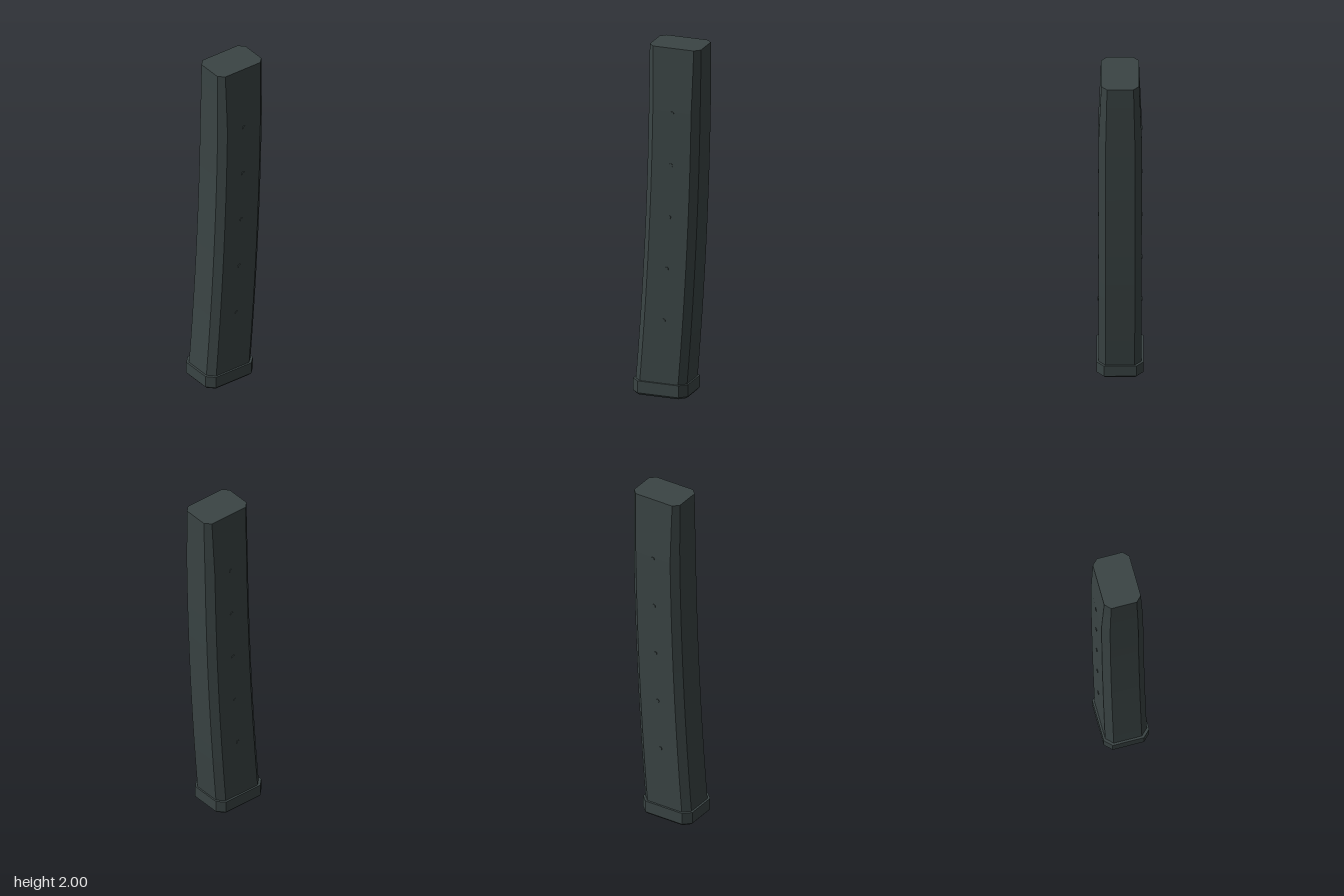
import * as THREE from 'three';

const TOP = 2, PLATE = 0.08;

// Backward sweep of the curved body at a given height
const sweep = (y) => 0.0214 * (TOP - y) ** 2;

// Eight-sided ring: a rectangle with cut corners, counter-clockwise seen from above
function ring(y, w, front, back, c) {
  return [
    [w - c, y, front], [w, y, front - c], [w, y, back + c], [w - c, y, back],
    [c - w, y, back], [-w, y, back + c], [-w, y, front - c], [c - w, y, front],
  ];
}

// Skin a stack of rings and close both ends
function loft(rings) {
  const pos = [], n = rings[0].length;
  const tri = (a, b, c) => pos.push(...a, ...b, ...c);
  for (let r = 0; r < rings.length - 1; r++) {
    for (let i = 0; i < n; i++) {
      const j = (i + 1) % n, lo = rings[r], hi = rings[r + 1];
      tri(lo[i], lo[j], hi[j]);
      tri(lo[i], hi[j], hi[i]);
    }
  }
  const bottom = rings[0], top = rings[rings.length - 1];
  for (let i = 1; i < n - 1; i++) {
    tri(bottom[0], bottom[i + 1], bottom[i]);
    tri(top[0], top[i], top[i + 1]);
  }
  const geo = new THREE.BufferGeometry();
  geo.setAttribute('position', new THREE.Float32BufferAttribute(pos, 3));
  geo.computeVertexNormals();
  return geo;
}

export function createModel() {
  const group = new THREE.Group();
  const darkGrey = new THREE.MeshStandardMaterial({ color: 0x3a4444 });
  darkGrey.name = 'darkGrey';

  const add = (name, geo) => {
    const mesh = new THREE.Mesh(geo, darkGrey);
    mesh.name = name;
    group.add(mesh);
    return mesh;
  };

  // Curved body, narrowing in width near the top
  const heights = [];
  for (let i = 0; i <= 16; i++) heights.push(0.06 + (1.64 - 0.06) * i / 16);
  heights.push(1.76, 1.88, TOP);
  add('body', loft(heights.map((y) => {
    const t = Math.max(0, (y - 1.64) / (TOP - 1.64));
    const s = sweep(y);
    return ring(y, 0.117 - 0.014 * t, 0.104 + s, -0.195 + s, 0.038 - 0.007 * t);
  })));

  // Base plate with a small bevel along its lower edge
  add('basePlate', loft([
    ring(0, 0.118, 0.185, -0.115, 0.036),
    ring(0.012, 0.128, 0.195, -0.125, 0.04),
    ring(PLATE, 0.128, 0.195, -0.125, 0.04),
  ]));

  // Row of small round studs on each side
  const stud = new THREE.CylinderGeometry(0.011, 0.011, 0.008, 12);
  stud.rotateZ(Math.PI / 2);
  for (const side of [-1, 1]) {
    for (let i = 0; i < 5; i++) {
      const y = 0.44 + 0.298 * i;
      add(side > 0 ? 'leftStud' : 'rightStud', stud)
        .position.set(side * 0.117, y, -0.046 + sweep(y));
    }
  }
  return group;
}
